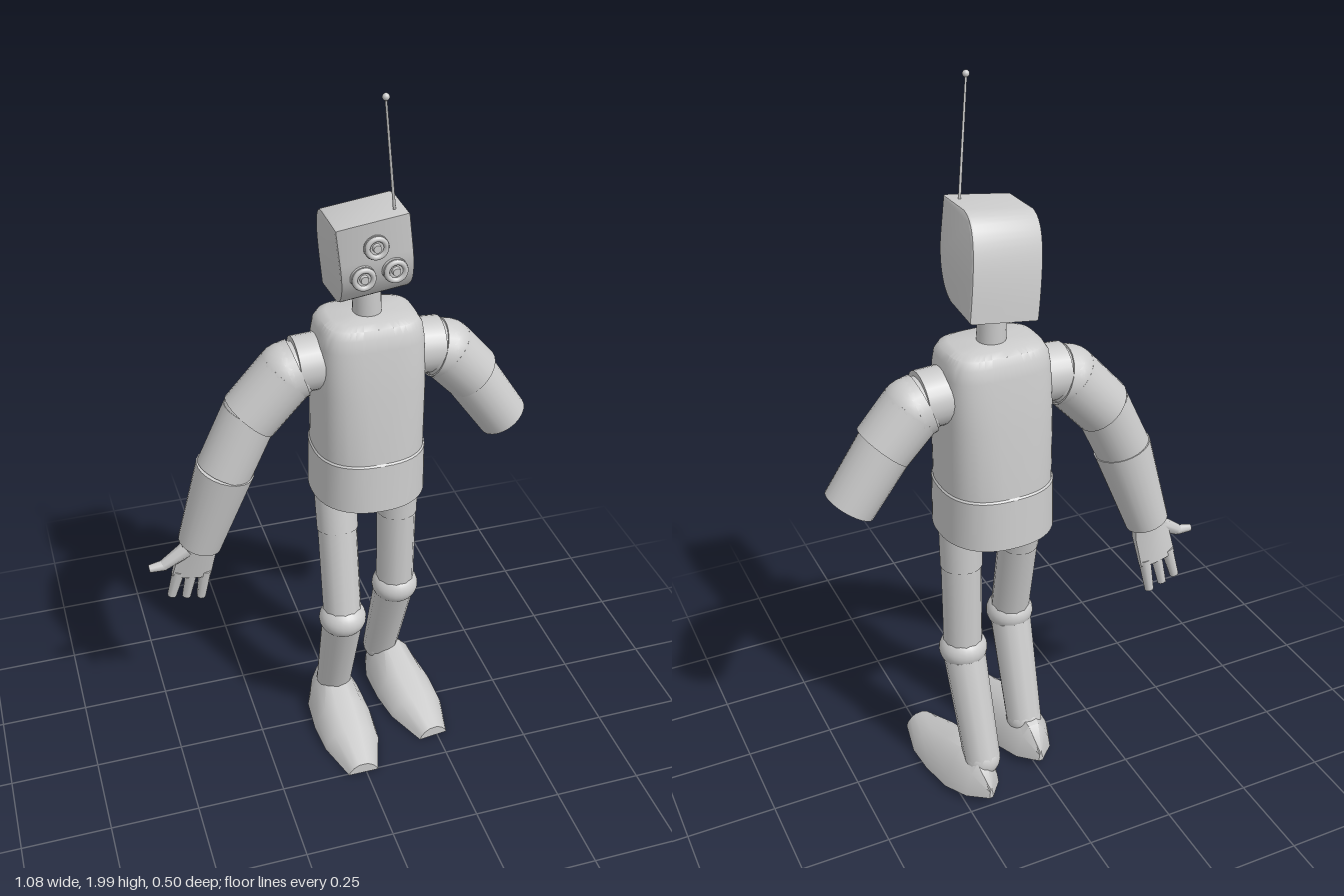
import * as THREE from 'three';
import { toCreasedNormals } from 'three/addons/utils/BufferGeometryUtils.js';

const material = new THREE.MeshStandardMaterial({ color: 0xcccccc });
const V = (p) => new THREE.Vector3(...p);

function add(parent, name, geometry, position = [0, 0, 0]) {
  const mesh = new THREE.Mesh(geometry, material);
  mesh.name = name;
  mesh.position.set(...position);
  parent.add(mesh);
  return mesh;
}

// Tapered round rod from point a to point b
function rod(parent, name, a, b, ra, rb = ra, sides = 24) {
  const from = V(a), dir = V(b).sub(from);
  const geometry = new THREE.CylinderGeometry(rb, ra, dir.length(), sides);
  const mesh = add(parent, name, geometry, from.addScaledVector(dir, 0.5).toArray());
  mesh.quaternion.setFromUnitVectors(new THREE.Vector3(0, 1, 0), dir.normalize());
  return mesh;
}

function ball(parent, name, p, r, squash = 1) {
  const mesh = add(parent, name, new THREE.SphereGeometry(r, 24, 16), p);
  mesh.scale.y = squash;
  return mesh;
}

// Closed skin over a list of equal-length cross-sections
function loft(rings, crease = 0.6) {
  const n = rings[0].length, last = (rings.length - 1) * n;
  const points = rings.flat(), index = [];
  for (const ring of [rings[0], rings[rings.length - 1]]) {
    points.push([0, 1, 2].map((k) => ring.reduce((s, p) => s + p[k], 0) / n));
  }
  const first = points.length - 2;
  for (let j = 0; j < n; j++) {
    const k = (j + 1) % n;
    for (let i = 0; i < last; i += n) {
      index.push(i + j, i + n + j, i + k, i + k, i + n + j, i + n + k);
    }
    index.push(first, j, k, first + 1, last + k, last + j);
  }
  const geometry = new THREE.BufferGeometry();
  geometry.setAttribute('position', new THREE.Float32BufferAttribute(points.flat(), 3));
  geometry.setIndex(index);
  return toCreasedNormals(geometry, crease);
}

// Body shell: round at the hem, squarer towards the shoulders
function buildTorso(root) {
  const sections = [
    // y, half width, half depth, squareness
    [0.805, 0.02, 0.02, 2], [0.83, 0.158, 0.158, 2.3], [0.97, 0.155, 0.149, 2.5],
    [0.975, 0.151, 0.145, 2.5], [1.17, 0.149, 0.131, 3], [1.3, 0.143, 0.112, 3.5],
    [1.335, 0.138, 0.106, 3.5], [1.355, 0.126, 0.095, 3.5], [1.365, 0.105, 0.075, 3.5],
  ];
  const power = (v, n) => Math.sign(v) * Math.abs(v) ** (2 / n);
  const rings = sections.map(([y, w, d, n]) => Array.from({ length: 48 }, (_, i) => {
    const t = (i / 48) * Math.PI * 2;
    return [w * power(Math.cos(t), n), y, d * power(Math.sin(t), n)];
  }));
  add(root, 'torso', loft(rings), [0.085, 0, -0.047]);
  rod(root, 'neck', [0.085, 1.34, -0.047], [0.08, 1.48, -0.047], 0.038);
}

// Tilted head with a curved back, three ringed eyes and an antenna
function buildHead(root) {
  const head = new THREE.Group();
  head.name = 'head';
  head.position.set(0.078, 1.43, 0);
  head.rotation.z = 0.13;
  root.add(head);

  const side = new THREE.Shape();
  side.moveTo(-0.108, 0.012);
  side.lineTo(0.01, 0.022);
  side.bezierCurveTo(0.06, 0.035, 0.1, 0.09, 0.104, 0.16);
  side.lineTo(0.108, 0.252);
  side.lineTo(-0.01, 0.255);
  side.bezierCurveTo(-0.07, 0.245, -0.095, 0.18, -0.108, 0.012);
  const skull = new THREE.ExtrudeGeometry(side, {
    depth: 0.176, bevelThickness: 0.007, bevelSize: 0.007, bevelSegments: 2, curveSegments: 14,
  });
  skull.rotateY(-Math.PI / 2).translate(0.088, 0, 0);
  add(head, 'skull', toCreasedNormals(skull, 0.5));

  for (const [x, y] of [[0, 0.192], [-0.041, 0.118], [0.041, 0.118]]) {
    const eye = new THREE.Group();
    eye.name = 'eye';
    eye.position.set(x, y, 0.112);
    head.add(eye);
    rod(eye, 'eyeBase', [0, 0, -0.03], [0, 0, 0.006], 0.032);
    add(eye, 'eyeRing', new THREE.TorusGeometry(0.024, 0.007, 8, 28), [0, 0, 0.009]);
    rod(eye, 'pupil', [0, 0, 0], [0, 0, 0.016], 0.012, 0.01);
  }

  rod(root, 'antenna', [0.114, 1.67, 0.073], [0.071, 1.985, 0.115], 0.004, 0.003, 8);
  ball(root, 'antennaTip', [0.071, 1.99, 0.115], 0.009);
}

// Hand hanging down its own -y axis
function buildHand(root) {
  const hand = new THREE.Group();
  hand.name = 'rightHand';
  hand.position.set(-0.39, 0.71, -0.07);
  hand.rotation.set(0.15, 0, -0.2);
  root.add(hand);
  const outline = [[0, 0.045, 0.03], [-0.04, 0.054, 0.026], [-0.135, 0.056, 0.018]];
  const rings = outline.reverse().map(([y, w, d]) => Array.from({ length: 8 }, (_, i) => {
    const t = ((i + 0.5) / 8) * Math.PI * 2;
    return [w * Math.cos(t) * 1.08, y, d * Math.sin(t) * 1.08];
  }));
  add(hand, 'palm', loft(rings));
  [-0.04, 0, 0.04].forEach((x, i) => {
    rod(hand, 'finger', [x * 0.95, -0.12, 0], [x * 1.1, -0.215 - i * 0.004, 0.004], 0.018, 0.013, 8);
  });
  rod(hand, 'thumbBase', [-0.03, -0.03, 0.005], [-0.09, -0.085, 0.012], 0.024, 0.016, 8);
  rod(hand, 'thumbTip', [-0.085, -0.084, 0.012], [-0.13, -0.098, 0.012], 0.016, 0.011, 8);
}

function buildArms(root) {
  const z = -0.047;
  // Shoulder joints, mirrored about the body's centre line
  for (const s of [1, -1]) {
    const x = (d) => 0.085 + s * d;
    rod(root, 'shoulderJoint', [x(0.11), 1.24, z], [x(0.198), 1.235, z], 0.077);
    rod(root, 'shoulderCuff', [x(0.19), 1.225, z], [x(0.22), 1.215, z], 0.081, 0.083);
    ball(root, 'shoulder', [x(0.22), 1.215, z], 0.083);
  }
  // Left arm ends in a flat stump
  rod(root, 'leftUpperArm', [0.305, 1.215, z], [0.387, 1.125, z], 0.083, 0.08);
  rod(root, 'leftForearm', [0.36, 1.155, z], [0.483, 0.975, z + 0.005], 0.076, 0.071);
  // Right arm
  rod(root, 'rightUpperArm', [-0.135, 1.215, z], [-0.24, 1.1, z], 0.083, 0.082);
  ball(root, 'rightElbow', [-0.236, 1.105, z], 0.078);
  rod(root, 'rightElbowSleeve', [-0.236, 1.11, z], [-0.316, 0.947, -0.04], 0.077, 0.077);
  rod(root, 'rightForearm', [-0.312, 0.955, -0.04], [-0.39, 0.705, -0.065], 0.081, 0.062);
  buildHand(root);
}

// Leg with its foot; the pose comes from the knee and ankle points
function buildLeg(root, side, hip, knee, ankle, footAt, yaw) {
  const leg = new THREE.Group();
  leg.name = side + 'Leg';
  root.add(leg);
  const mid = V(hip).lerp(V(knee), 0.35).toArray();
  rod(leg, 'thigh', hip, mid, 0.06, 0.058);
  rod(leg, 'lowerThigh', mid, knee, 0.056, 0.055, 12);
  ball(leg, 'knee', knee, 0.068, 0.8);
  rod(leg, 'shin', knee, ankle, 0.06, 0.052, 12);
  ball(leg, 'ankle', ankle, 0.052);

  // Foot: arched sections from pointed heel to blunt toe
  const stations = [
    // z, half width, height, sole height
    [-0.25, 0.006, 0.03, 0.025], [-0.2, 0.055, 0.1, 0.02], [-0.13, 0.083, 0.115, 0.016],
    [-0.03, 0.09, 0.085, 0.012], [0.06, 0.083, 0.062, 0.007], [0.175, 0.044, 0.032, 0],
  ];
  const rings = stations.map(([z, w, h, y]) => [
    [-1, 0], [-0.92, 0.3], [-0.65, 0.72], [-0.28, 1], [0.28, 1], [0.65, 0.72], [0.92, 0.3], [1, 0],
  ].map(([a, b]) => [a * w, y + b * h, z]));
  const foot = add(leg, 'foot', loft(rings, 0.8), footAt);
  foot.rotation.y = yaw;
}

export function createModel() {
  const root = new THREE.Group();
  root.name = 'robot';
  buildTorso(root);
  buildHead(root);
  buildArms(root);
  buildLeg(root, 'left', [0.178, 0.86, -0.045], [0.182, 0.435, -0.055], [0.176, 0.11, -0.163], [0.216, 0.005, 0], 0.12);
  buildLeg(root, 'right', [-0.006, 0.86, -0.045], [-0.011, 0.435, 0.05], [-0.008, 0.11, -0.055], [-0.009, 0.005, 0.08], 0);
  return root;
}
